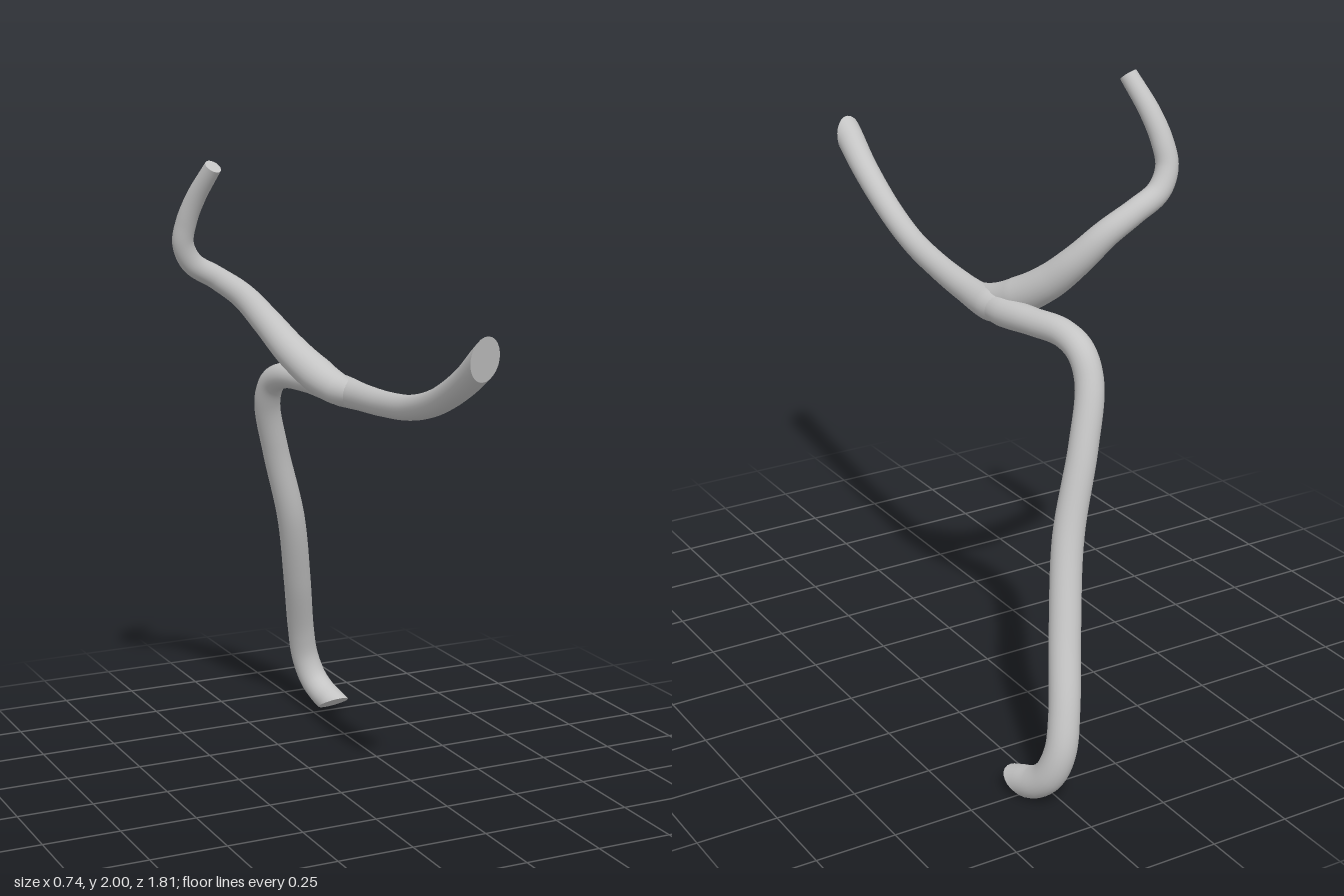
import * as THREE from 'three';

const SIDES = 24;

// Smooth tapering tube through [x, y, z, radius] knots. The far end is cut flat
// on a plane with normal endNormal (square to the path when omitted).
function vessel(name, knots, material, endNormal) {
  const curve = new THREE.CatmullRomCurve3(knots.map(k => new THREE.Vector3(k[0], k[1], k[2])));
  const spans = knots.length - 1, rings = spans * 8;
  const end = curve.getPoint(1);
  const cut = endNormal ? endNormal.clone().normalize() : curve.getTangent(1);
  const pos = [], idx = [];
  const normal = new THREE.Vector3(1, 0, 0), side = new THREE.Vector3();

  for (let i = 0; i <= rings; i++) {
    const t = i / rings, f = t * spans, k = Math.min(Math.floor(f), spans - 1);
    const r = THREE.MathUtils.lerp(knots[k][3], knots[k + 1][3], f - k);
    const c = curve.getPoint(t), tan = curve.getTangent(t);
    normal.addScaledVector(tan, -normal.dot(tan)).normalize();
    side.crossVectors(tan, normal);
    for (let j = 0; j < SIDES; j++) {
      const a = j / SIDES * Math.PI * 2;
      const p = c.clone().addScaledVector(normal, Math.cos(a) * r).addScaledVector(side, Math.sin(a) * r);
      // slide points along the path onto the cutting plane near the end
      const over = p.clone().sub(end).dot(cut);
      if (i === rings || (t > 0.85 && over > 0)) p.addScaledVector(tan, -over / tan.dot(cut));
      pos.push(p.x, p.y, p.z);
    }
  }
  for (let i = 0; i < rings; i++) {
    for (let j = 0; j < SIDES; j++) {
      const a = i * SIDES + j, b = i * SIDES + (j + 1) % SIDES;
      idx.push(a, b, a + SIDES, b, b + SIDES, a + SIDES);
    }
  }
  const wall = new THREE.BufferGeometry();
  wall.setAttribute('position', new THREE.Float32BufferAttribute(pos, 3));
  wall.setIndex(idx);
  wall.computeVertexNormals();

  // flat end cap with its own vertices for a crisp rim
  const capPos = [end.x, end.y, end.z, ...pos.slice(-SIDES * 3)], capIdx = [];
  for (let j = 0; j < SIDES; j++) capIdx.push(0, 1 + j, 1 + (j + 1) % SIDES);
  const cap = new THREE.BufferGeometry();
  cap.setAttribute('position', new THREE.Float32BufferAttribute(capPos, 3));
  cap.setIndex(capIdx);
  cap.computeVertexNormals();

  const group = new THREE.Group();
  group.name = name;
  for (const [part, geometry] of [['Wall', wall], ['Cap', cap]]) {
    const mesh = new THREE.Mesh(geometry, material);
    mesh.name = name + part;
    group.add(mesh);
  }
  return group;
}

export function createModel() {
  const grey = new THREE.MeshStandardMaterial({ color: 0xc4c4c4, side: THREE.DoubleSide });
  grey.name = 'light grey';
  const model = new THREE.Group();
  model.name = 'branchingTube';

  // front trunk, running from the fork to the raised front tip
  model.add(vessel('trunk', [
    [0.05, 1.285, -0.25, 0.04], [0.067, 1.283, -0.13, 0.05], [0.065, 1.287, 0, 0.043],
    [0.053, 1.3, 0.2, 0.039], [0.038, 1.327, 0.4, 0.038], [0.02, 1.385, 0.6, 0.039],
    [0.01, 1.475, 0.78, 0.042], [0.005, 1.55, 0.888, 0.045],
  ], grey, new THREE.Vector3(0, -0.035, 0.14)));

  // long branch, bending down and back to the foot
  model.add(vessel('lowerBranch', [
    [0.067, 1.285, -0.05, 0.04], [0.063, 1.282, -0.2, 0.047], [0.042, 1.286, -0.33, 0.042],
    [0.013, 1.283, -0.45, 0.042], [0.003, 1.25, -0.53, 0.043], [0.006, 1.17, -0.582, 0.043],
    [0.055, 1, -0.63, 0.044], [0.13, 0.75, -0.673, 0.047], [0.19, 0.5, -0.755, 0.047],
    [0.24, 0.29, -0.835, 0.046], [0.265, 0.18, -0.856, 0.047], [0.287, 0.1, -0.835, 0.048],
    [0.305, 0.056, -0.79, 0.048], [0.318, 0.033, -0.73, 0.047],
  ], grey, new THREE.Vector3(0, -0.86, 0.51)));

  // thinner branch, rising sideways and curling forward at the tip
  model.add(vessel('upperBranch', [
    [0.063, 1.285, -0.02, 0.035], [0.045, 1.292, -0.12, 0.05], [0.015, 1.325, -0.21, 0.058],
    [-0.03, 1.39, -0.305, 0.054], [-0.08, 1.475, -0.385, 0.047], [-0.14, 1.555, -0.435, 0.041],
    [-0.22, 1.615, -0.46, 0.037], [-0.3, 1.665, -0.463, 0.036], [-0.335, 1.73, -0.452, 0.034],
    [-0.332, 1.8, -0.43, 0.033], [-0.315, 1.88, -0.39, 0.031], [-0.285, 1.98, -0.317, 0.027],
  ], grey));

  return model;
}
